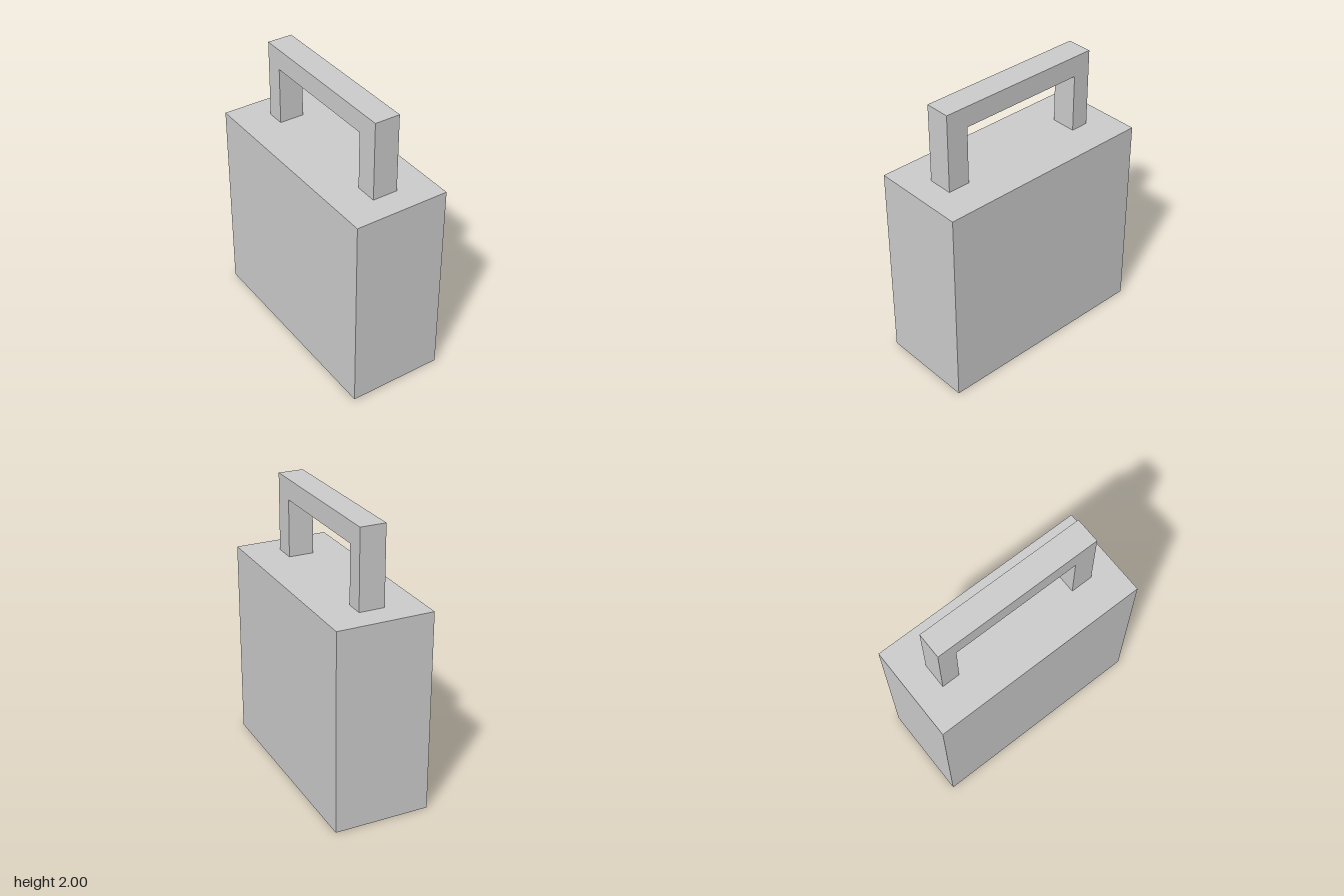
import * as THREE from 'three';

export function createModel() {
  const group = new THREE.Group();
  const material = new THREE.MeshStandardMaterial({ color: 0xcccccc, flatShading: true });

  // Solid rectangular body
  const bodyHeight = 1.44;
  const body = new THREE.Mesh(new THREE.BoxGeometry(0.68, bodyHeight, 1.59), material);
  body.name = 'body';
  body.position.y = bodyHeight / 2;
  group.add(body);

  // Square-cornered handle: side profile as (z, y), front leg slightly thicker
  const width = 0.18;
  const profile = new THREE.Shape([
    [-0.605, bodyHeight], [-0.475, bodyHeight], [-0.475, 1.853], [0.45, 1.853],
    [0.45, bodyHeight], [0.61, bodyHeight], [0.61, 2], [-0.605, 2],
  ].map(([z, y]) => new THREE.Vector2(z, y)));
  const geometry = new THREE.ExtrudeGeometry(profile, { depth: width, bevelEnabled: false });
  geometry.translate(0, 0, -width / 2).rotateY(-Math.PI / 2);
  const handle = new THREE.Mesh(geometry, material);
  handle.name = 'handle';
  group.add(handle);

  return group;
}
